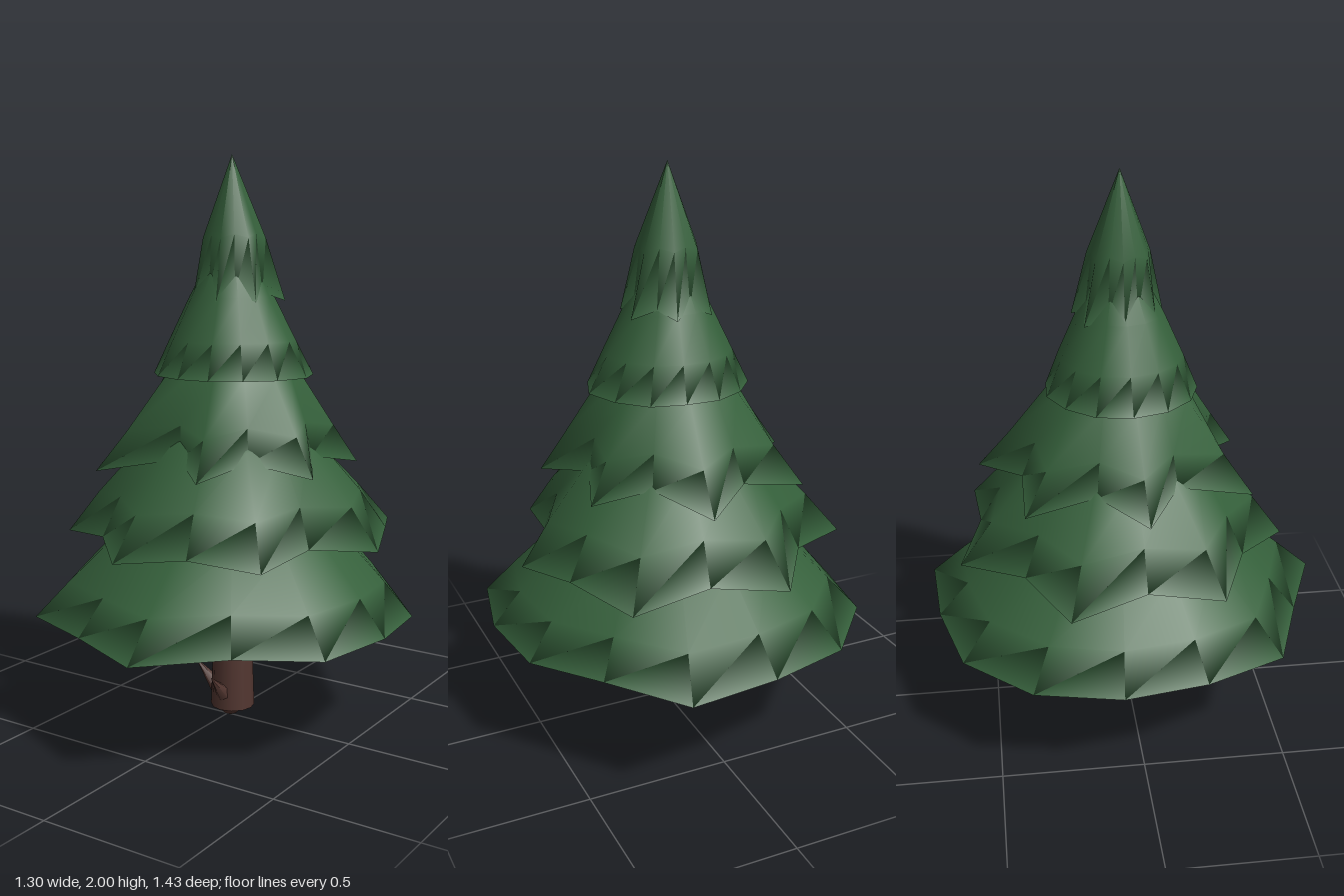
import * as THREE from 'three';

const needles = new THREE.MeshStandardMaterial({ color: 0x35603b });
needles.name = 'needleGreen';
const bark = new THREE.MeshStandardMaterial({ color: 0x523630 });
bark.name = 'barkBrown';

const AXIS_Z = -0.025;

// Each tier is a seven-tipped star: angle of the first tip, rim radii (tip, notch, ...),
// notch lift, and rings [scale, height, roundness] above the rim.
const TIERS = [
  {
    name: 'bottomBranches', start: -71.7, lift: 0.005, base: 0.41,
    radii: [0.732, 0.622, 0.65, 0.648, 0.68, 0.612, 0.742, 0.647, 0.704, 0.65, 0.653, 0.694, 0.702, 0.675],
    rings: [[0.84, 0.53, 0.2], [0.59, 0.7, 0.6], [0, 1, 1]],
  },
  {
    name: 'lowerBranches', start: -107, lift: 0.03, base: 0.675,
    radii: [0.606, 0.51, 0.637, 0.548, 0.565, 0.442, 0.562, 0.519, 0.58, 0.48, 0.589, 0.486, 0.619, 0.492],
    rings: [[0.83, 0.82, 0.3], [0.54, 1.02, 0.8], [0, 1.25, 1]],
  },
  {
    name: 'middleBranches', start: -82.7, lift: 0.04, base: 0.94,
    radii: [0.503, 0.334, 0.443, 0.309, 0.446, 0.293, 0.449, 0.272, 0.503, 0.316, 0.463, 0.327, 0.495, 0.372],
    rings: [[0.84, 1.07, 0.35], [0.6, 1.25, 0.8], [0, 1.5, 1]],
  },
  {
    name: 'upperBranches', start: -54, lift: 0, base: 1.25,
    radii: [0.28, 0.285, 0.295, 0.275, 0.262, 0.262, 0.265, 0.272, 0.275, 0.276, 0.278, 0.27, 0.267, 0.258],
    rings: [[0.8, 1.37, 0.5], [0.54, 1.52, 1], [0, 1.8, 1]],
  },
  {
    name: 'topBranches', start: -77, lift: 0.03, base: 1.505,
    radii: [0.166, 0.139, 0.186, 0.125, 0.159, 0.115, 0.153, 0.11, 0.142, 0.11, 0.145, 0.116, 0.166, 0.124],
    rings: [[0.74, 1.72, 0.6], [0, 2, 1]],
  },
];

// Closed skirt: recessed underside, rim, then shrinking rings up to the apex
function makeTier({ name, start, lift, base, radii, rings }) {
  const n = radii.length;
  const mean = radii.reduce((sum, r) => sum + r, 0) / n;
  const angleOf = (j) => THREE.MathUtils.degToRad(start) + (j / n) * Math.PI * 2;
  const profile = [[0, base + 0.035, 0], [0.95, base + 0.03, 0], [1, base, 0], ...rings];
  const positions = [], index = [];
  profile.forEach(([scale, y, round], i) => {
    for (let j = 0; j < n; j++) {
      const r = scale * THREE.MathUtils.lerp(radii[j], mean, round);
      const up = j % 2 && scale > 0 ? lift * (1 - round) : 0;
      positions.push(r * Math.cos(angleOf(j)), y + up, AXIS_Z + r * Math.sin(angleOf(j)));
      if (i < profile.length - 1) {
        const a = i * n + j, b = i * n + (j + 1) % n;
        if (scale > 0) index.push(a, a + n, b);
        if (profile[i + 1][0] > 0) index.push(b, a + n, b + n);
      }
    }
  });
  const geometry = new THREE.BufferGeometry();
  geometry.setAttribute('position', new THREE.Float32BufferAttribute(positions, 3));
  geometry.setIndex(index);
  geometry.computeVertexNormals();
  // Curl the rim normals under, so the skirt rolls softly into its underside
  for (let j = 0; j < n; j++) {
    geometry.attributes.normal.setXYZ(2 * n + j, -0.75 * Math.cos(angleOf(j)), -0.66, -0.75 * Math.sin(angleOf(j)));
  }
  const mesh = new THREE.Mesh(geometry, needles);
  mesh.name = name;
  return mesh;
}

// Cone from a point on the trunk to a tip
function makeStub(from, to) {
  const a = new THREE.Vector3(...from), b = new THREE.Vector3(...to);
  const axis = b.clone().sub(a);
  const mesh = new THREE.Mesh(new THREE.ConeGeometry(0.033, axis.length(), 6), bark);
  mesh.position.copy(a).lerp(b, 0.5);
  mesh.quaternion.setFromUnitVectors(new THREE.Vector3(0, 1, 0), axis.normalize());
  mesh.name = 'branchStub';
  return mesh;
}

export function createModel() {
  const tree = new THREE.Group();
  tree.name = 'pineTree';
  TIERS.forEach((tier) => tree.add(makeTier(tier)));

  // Trunk with a narrower cut end at the ground
  const trunk = new THREE.Mesh(new THREE.CylinderGeometry(0.064, 0.079, 0.47, 12), bark);
  trunk.position.set(0.01, 0.27, -0.016);
  trunk.name = 'trunk';
  const foot = new THREE.Mesh(new THREE.CylinderGeometry(0.055, 0.025, 0.035, 12), bark);
  foot.position.set(0, 0.0175, -0.018);
  foot.name = 'trunkFoot';
  tree.add(trunk, foot);

  // Short pointed stubs low on the trunk
  tree.add(
    makeStub([-0.04, 0.08, -0.01], [-0.15, 0.18, -0.01]),
    makeStub([0.01, 0.08, 0.03], [0.015, 0.18, 0.132]),
    makeStub([0, 0.08, -0.06], [0, 0.18, -0.17]),
  );
  return tree;
}
